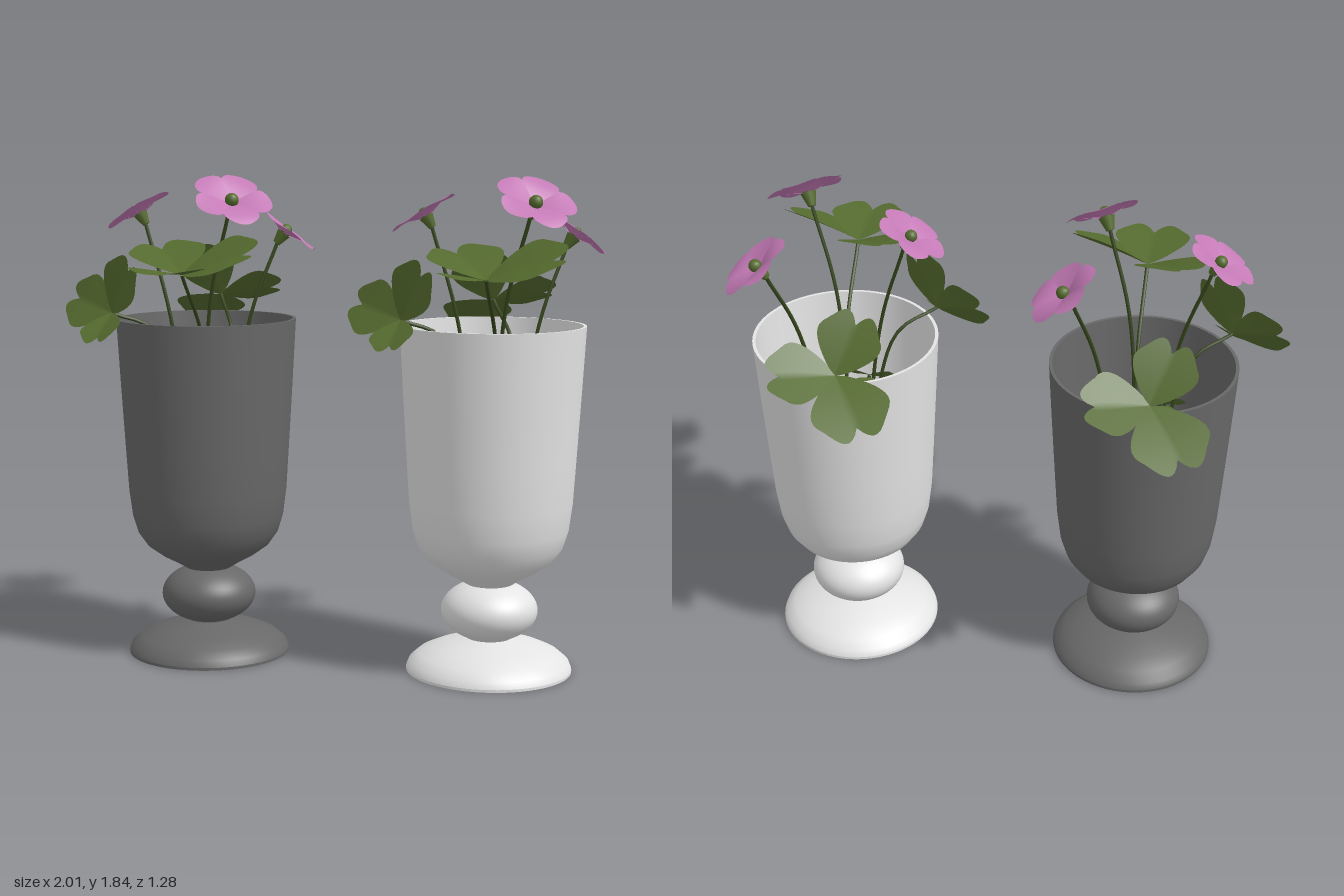
import * as THREE from 'three';

const V = (p) => new THREE.Vector3(...p);
const mat = (name, color, side = THREE.FrontSide) => {
  const m = new THREE.MeshStandardMaterial({ color, side });
  m.name = name;
  return m;
};

function mesh(name, geometry, material, parent) {
  const m = new THREE.Mesh(geometry, material);
  m.name = name;
  parent.add(m);
  return m;
}

// Unit blade growing along +y, facing +z; a grid reshaped by width, tip and bend rules
function blade(width, tip, bend) {
  const g = new THREE.PlaneGeometry(2, 1, 16, 12);
  const p = g.attributes.position;
  for (let i = 0; i < p.count; i++) {
    const u = p.getX(i), v = p.getY(i) + 0.5;
    const x = u * width(v), y = v * tip(u);
    p.setXYZ(i, x, y, bend(x, y));
  }
  g.computeVertexNormals();
  return g;
}

// Places a unit blade from base to tip, facing the given normal
function orient(object, base, tip, normal) {
  const dir = tip.clone().sub(base), len = dir.length();
  dir.normalize();
  const w = dir.clone().cross(normal).normalize();
  const n = w.clone().cross(dir);
  object.quaternion.setFromRotationMatrix(new THREE.Matrix4().makeBasis(w, dir, n));
  object.position.copy(base);
  object.scale.setScalar(len);
}

// Flower heads: centre, facing, size, point the stem passes at rim height
const FLOWERS = [
  { at: [-0.75, 1.71, 0.035], n: [-0.52, 0.85, 0.02], r: 0.135, via: [-0.61, 1.3, 0.07], turn: 0.3 },
  { at: [-0.31, 1.76, 0.24], n: [0.36, 0.8, 0.45], r: 0.15, via: [-0.43, 1.35, 0.15], turn: 0.1 },
  { at: [-0.215, 1.635, -0.145], n: [0.58, 0.8, -0.18], r: 0.142, via: [-0.335, 1.3, -0.05], turn: 0.5 },
];

// Leaves: hub, stem waypoint, and [tip, facing] for each leaflet
const LEAVES = [
  { hub: [-0.56, 1.36, -0.39], via: [-0.45, 1.18, -0.2], lobes: [
    [[-0.7, 1.26, -0.6], [-0.1, 0.9, -0.4]],
    [[-0.35, 1.4, -0.49], [-0.1, 0.85, -0.5]],
    [[-0.63, 1.55, -0.29], [-0.1, 0.5, -0.8]]] },
  { hub: [-0.46, 1.49, 0.37], via: [-0.46, 1.2, 0.13], lobes: [
    [[-0.62, 1.6, 0.17], [0.25, 0.85, 0.5]],
    [[-0.19, 1.59, 0.4], [-0.3, 0.9, 0.4]],
    [[-0.46, 1.52, 0.64], [0, 1, -0.1]]] },
  { hub: [-0.8, 1.33, 0.19], via: [-0.66, 1.25, 0.1], lobes: [
    [[-0.99, 1.39, 0.12], [-0.25, 0.4, 0.88]],
    [[-0.71, 1.52, 0.25], [-0.55, 0.1, 0.8]],
    [[-0.82, 1.24, 0.33], [-0.25, 0.8, 0.55]]] },
  { hub: [-0.64, 1.13, -0.14], via: [-0.56, 0.95, -0.08], lobes: [
    [[-0.645, 1.15, -0.26], [0, 1, 0]],
    [[-0.73, 1.15, -0.09], [0, 1, 0]],
    [[-0.54, 1.15, -0.09], [0, 1, 0]]] },
  { hub: [-0.37, 1.1, -0.12], via: [-0.44, 0.95, -0.06], lobes: [
    [[-0.34, 1.15, -0.22], [0.3, 0.8, 0.4]],
    [[-0.28, 1.12, -0.07], [0.3, 0.8, 0.4]],
    [[-0.45, 1.12, -0.12], [0.3, 0.8, 0.4]]] },
  { hub: [-0.56, 1.08, 0.07], via: [-0.53, 0.95, 0.03], lobes: [
    [[-0.64, 1.06, 0.11], [0.1, 0.7, 0.7]],
    [[-0.49, 1.06, 0.11], [0.1, 0.7, 0.7]]] },
];

// Vase outline from the foot up the outside, over the rim and down the inside
const FOOT = [[0, 0], [0.31, 0], [0.31, 0.01]];
const FOOT_TOP = [[0.31, 0.01], [0.3, 0.035], [0.265, 0.065], [0.21, 0.09], [0.15, 0.11], [0.085, 0.125]];
const BOWL = [[0.085, 0.33], [0.12, 0.352], [0.18, 0.385], [0.235, 0.425], [0.27, 0.475], [0.29, 0.54],
  [0.303, 0.64], [0.313, 0.8], [0.328, 1.05], [0.342, 1.3]];
const RIM = [[0.342, 1.3], [0.33, 1.3]];
const INSIDE = [[0.33, 1.3], [0.316, 1.05], [0.301, 0.8], [0.29, 0.64], [0.275, 0.54], [0.25, 0.475],
  [0.2, 0.43], [0.1, 0.39], [0, 0.38]];

const lathe = (pts) => new THREE.LatheGeometry(pts.map(([x, y]) => new THREE.Vector2(x, y)), 64);

function createVase(material) {
  const vase = new THREE.Group();
  vase.name = 'vase';
  vase.position.set(-0.5, 0, -0.02);
  mesh('footUnderside', lathe(FOOT.slice(0, 2)), material, vase);
  mesh('footEdge', lathe(FOOT.slice(1)), material, vase);
  mesh('footTop', lathe(FOOT_TOP), material, vase);
  mesh('bowlOutside', lathe(BOWL), material, vase);
  mesh('rim', lathe(RIM), material, vase);
  mesh('bowlInside', lathe(INSIDE), material, vase);
  // Flattened ball on the stem
  const knob = mesh('knob', new THREE.SphereGeometry(1, 48, 24), material, vase);
  knob.scale.set(0.181, 0.115, 0.181);
  knob.position.y = 0.23;
  return vase;
}

export function createModel() {
  const model = new THREE.Group();
  model.name = 'flowerVases';
  const darkVase = mat('darkGrey', 0x686868);
  const lightVase = mat('paleGrey', 0xe4e4e4);
  const leafGreen = mat('leafGreen', 0x556b2f, THREE.DoubleSide);
  const stemGreen = mat('stemGreen', 0x35451c);
  const pink = mat('petalPink', 0xc47ab6, THREE.DoubleSide);

  // Heart-shaped leaflet, gently folded on its midrib
  const leaflet = blade(
    (v) => 0.74 * Math.pow(v, 0.75) * (1 - 0.42 * v ** 4),
    (u) => 0.84 + 0.2 * Math.sin(Math.PI * Math.abs(u) ** 0.9) - 0.05 * u * u,
    (x, y) => 0.16 * Math.abs(x) - 0.06 * y * y);
  // Rounded petal rising from the throat and flaring out
  const petal = blade(
    (v) => 0.06 + 0.6 * Math.pow(v, 0.9) * (1 - 0.5 * v ** 4),
    (u) => 1 - 0.15 * u * u,
    (x, y) => 0.18 * Math.sin(Math.PI * 0.7 * y) - 0.16 + 0.1 * x * x);
  petal.rotateX(-Math.PI / 2);
  const calyx = new THREE.CylinderGeometry(0.2, 0.1, 0.34, 12);
  const throat = new THREE.SphereGeometry(0.17, 12, 8);

  const stem = (name, via, end, parent) => {
    const root = [-0.5 + (via[0] + 0.5) * 0.15, 0.4, -0.02 + (via[2] + 0.02) * 0.15];
    const curve = new THREE.CatmullRomCurve3([V(root), V(via), end]);
    mesh(name, new THREE.TubeGeometry(curve, 24, 0.007, 6), stemGreen, parent);
  };

  function createPlant() {
    const plant = new THREE.Group();
    plant.name = 'plant';
    for (const { at, n, r, via, turn } of FLOWERS) {
      const normal = V(n).normalize();
      const flower = new THREE.Group();
      flower.name = 'flower';
      flower.position.copy(V(at));
      flower.quaternion.setFromUnitVectors(new THREE.Vector3(0, 1, 0), normal);
      flower.scale.setScalar(r);
      for (let i = 0; i < 5; i++) {
        mesh('petal', petal, pink, flower).rotation.y = turn + (i * Math.PI * 2) / 5;
      }
      mesh('calyx', calyx, leafGreen, flower).position.y = -0.3;
      mesh('flowerCentre', throat, leafGreen, flower).position.y = -0.04;
      plant.add(flower);
      stem('flowerStem', via, V(at).addScaledVector(normal, -0.4 * r), plant);
    }
    for (const { hub, via, lobes } of LEAVES) {
      const leaf = new THREE.Group();
      leaf.name = 'leaf';
      for (const [tip, n] of lobes) {
        orient(mesh('leaflet', leaflet, leafGreen, leaf), V(hub), V(tip), V(n));
      }
      plant.add(leaf);
      stem('leafStem', via, V(hub), plant);
    }
    return plant;
  }

  // Two matching vases side by side
  [darkVase, lightVase].forEach((material, i) => {
    const set = new THREE.Group();
    set.name = i ? 'lightVaseWithFlowers' : 'darkVaseWithFlowers';
    set.position.x = i * 1.105;
    set.add(createVase(material), createPlant());
    model.add(set);
  });
  return model;
}
